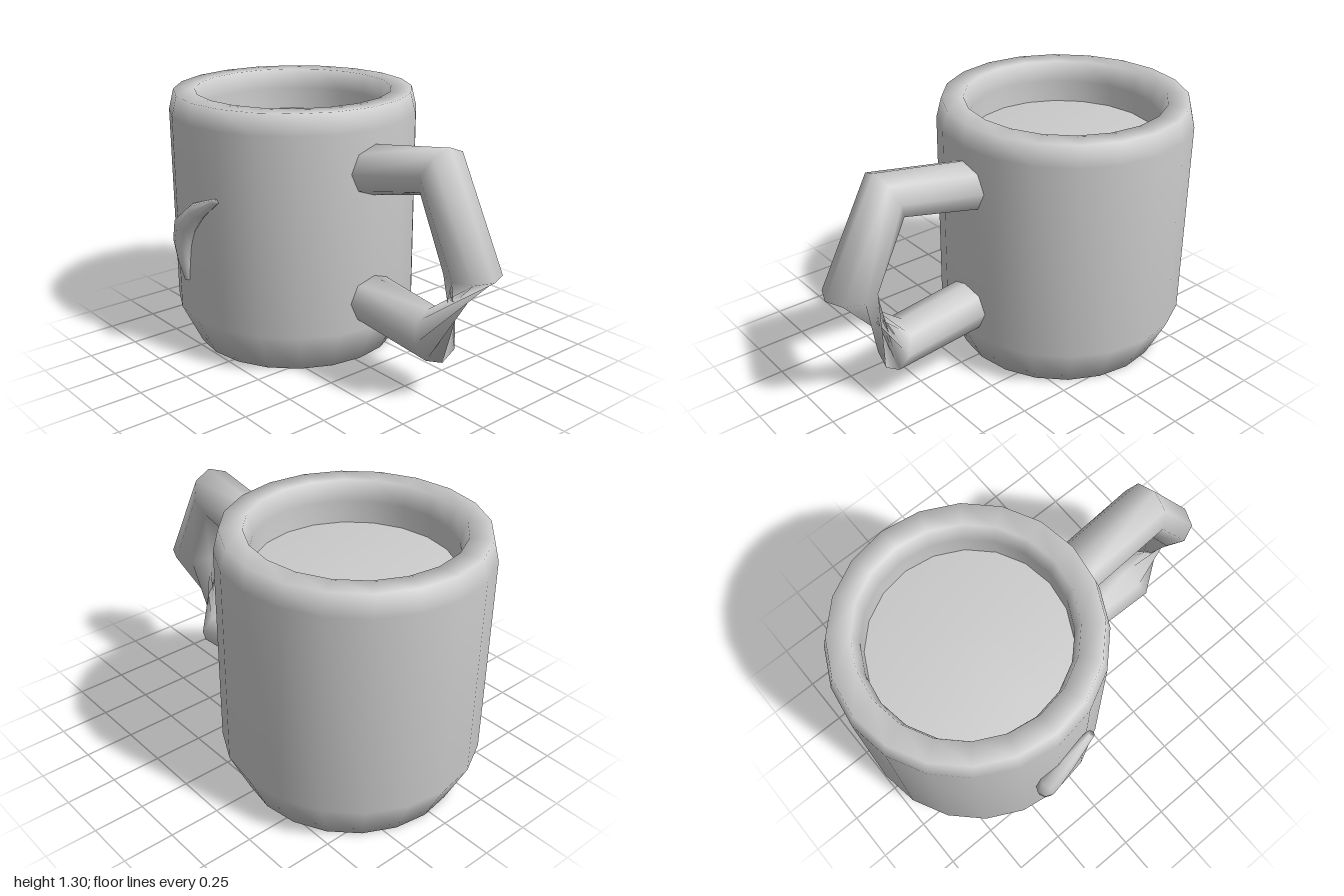
import * as THREE from 'three';

const CX = -0.38, CZ = -0.03; // axis of the mug

// Ring of points in the plane of z and the line from inner to outer
function ring(outer, inner, z, depth, n = 8) {
  const mx = (outer[0] + inner[0]) / 2, my = (outer[1] + inner[1]) / 2;
  return Array.from({ length: n }, (_, j) => {
    const a = (j / n) * Math.PI * 2, c = Math.cos(a);
    return [mx + (outer[0] - mx) * c, my + (outer[1] - my) * c, z + depth * Math.sin(a)];
  });
}

// Smooth closed skin through a list of rings
function loft(rings) {
  const n = rings[0].length, index = [];
  const pos = rings.flat(2);
  for (let i = 0; i < rings.length - 1; i++) {
    for (let j = 0; j < n; j++) {
      const a = i * n + j, b = i * n + ((j + 1) % n);
      index.push(a, b, a + n, b, b + n, a + n);
    }
  }
  // flat end caps
  const last = (rings.length - 1) * n;
  for (let j = 1; j < n - 1; j++) {
    index.push(0, j + 1, j, last, last + j, last + j + 1);
  }
  const g = new THREE.BufferGeometry();
  g.setAttribute('position', new THREE.Float32BufferAttribute(pos, 3));
  g.setIndex(index);
  g.computeVertexNormals();
  return g;
}

function lathe(profile) {
  const g = new THREE.LatheGeometry(profile.map(([r, y]) => new THREE.Vector2(r, y)), 20);
  return g.translate(CX, 0, CZ);
}

export function createModel() {
  const group = new THREE.Group();
  const ceramic = new THREE.MeshStandardMaterial({ color: 0xcccccc });
  ceramic.name = 'light grey';

  const add = (name, geometry) => {
    const mesh = new THREE.Mesh(geometry, ceramic);
    mesh.name = name;
    group.add(mesh);
  };

  // Cup wall: base, bevels, rim and inner wall
  add('cup', lathe([
    [0, 0], [0.52, 0], [0.62, 0.21], [0.62, 1.2], [0.595, 1.3],
    [0.49, 1.3], [0.465, 1.2], [0.465, 0.12], [0, 0.12],
  ]));

  // Drink surface, with softly rounded shading at its edge
  add('drink', lathe([[0.466, 1.04], [0.466, 1.09], [0, 1.09]]));

  // Angular handle; the lower link twists half a turn
  const r = 0.13;
  add('handle', loft([
    ring([0.17, 1.12], [0.17, 0.868], CZ, r),
    ring([0.71, 1.21], [0.61, 0.975], CZ, r),
    ring([0.995, 0.68], [0.745, 0.68], CZ, r),
    ring([0.61, 0.43], [0.71, 0.195], CZ, -r),
    ring([0.17, 0.488], [0.17, 0.236], CZ, -r),
  ]));

  // Raised crescent on the front
  add('crescent', loft([
    ring([-0.478, 0.405], [-0.45, 0.4], 0.585, 0.015),
    ring([-0.497, 0.51], [-0.43, 0.5], 0.595, 0.035),
    ring([-0.51, 0.62], [-0.405, 0.59], 0.6, 0.05),
    ring([-0.485, 0.73], [-0.36, 0.68], 0.6, 0.055),
    ring([-0.36, 0.825], [-0.29, 0.765], 0.595, 0.045),
    ring([-0.2, 0.885], [-0.17, 0.865], 0.585, 0.018),
  ]));

  return group;
}
